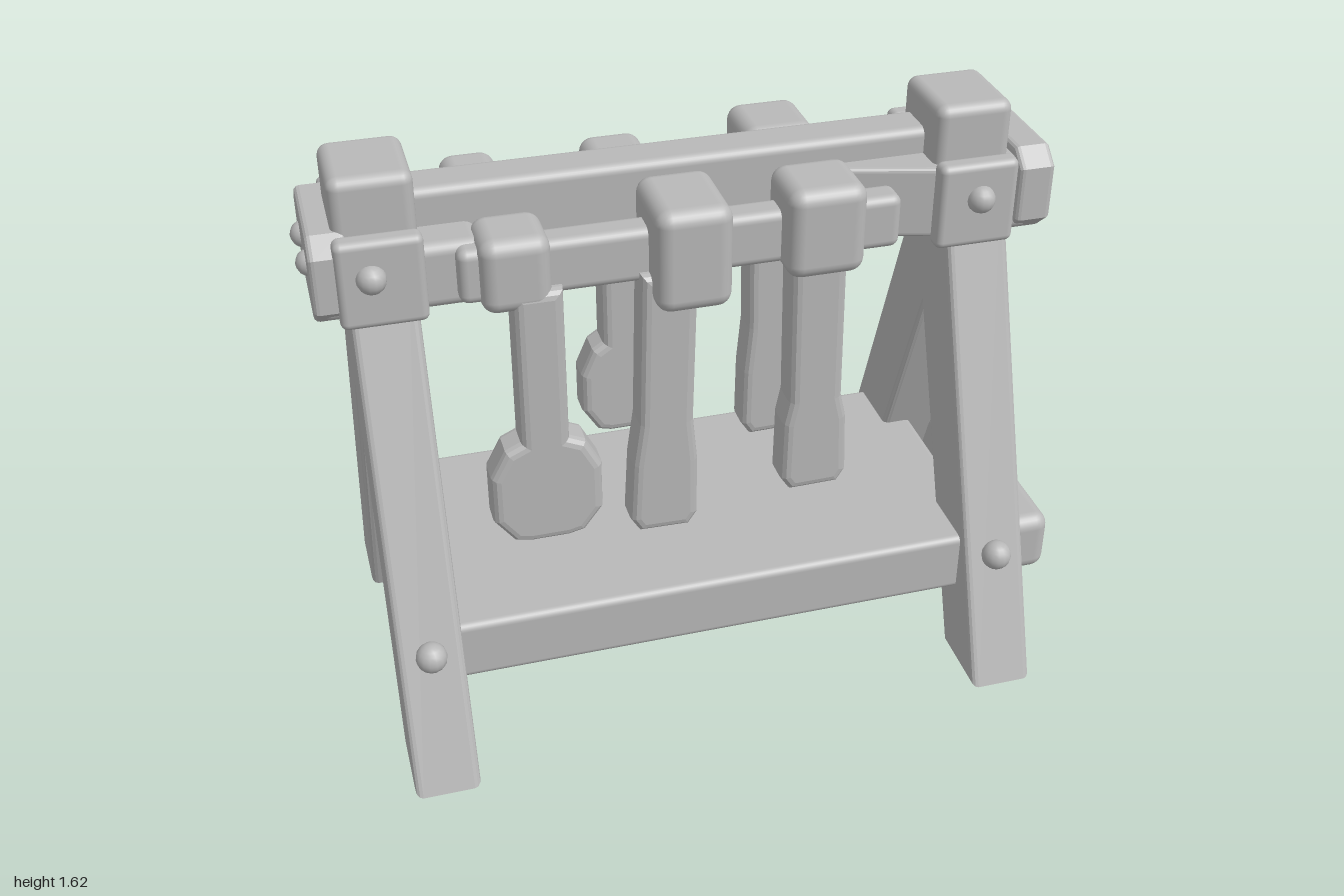
import * as THREE from 'three';
import { RoundedBoxGeometry } from 'three/addons/geometries/RoundedBoxGeometry.js';

export function createModel() {
  const root = new THREE.Group();
  root.name = 'toolRack';
  const grey = new THREE.MeshStandardMaterial({ color: 0xb8b8b8 });
  grey.name = 'clayGrey';

  const add = (name, geometry) => {
    const mesh = new THREE.Mesh(geometry, grey);
    mesh.name = name;
    root.add(mesh);
    return mesh;
  };
  // rounded box given by its bounds
  const block = (name, [x0, x1], [y0, y1], [z0, z1], r = 0.025) => {
    const mesh = add(name, new RoundedBoxGeometry(x1 - x0, y1 - y0, z1 - z0, 3, r));
    mesh.position.set((x0 + x1) / 2, (y0 + y1) / 2, (z0 + z1) / 2);
    return mesh;
  };
  // bevelled slab cut from an outline, centred on its thickness
  const slab = (points, thickness, bevel) => {
    const shape = new THREE.Shape(points.map(([x, y]) => new THREE.Vector2(x, y)));
    const g = new THREE.ExtrudeGeometry(shape, {
      depth: thickness - 2 * bevel, bevelSize: bevel, bevelThickness: bevel,
      bevelOffset: -bevel, bevelSegments: 3,
    });
    return g.translate(0, 0, bevel - thickness / 2);
  };
  // domed bolt head
  const bolt = (name, x, y, z, r = 0.038) => {
    const mesh = add(name, new THREE.SphereGeometry(r, 14, 10));
    mesh.position.set(x, y, z);
  };

  // A-shaped end frames
  const legOutline = [
    [0.575, 0], [0.355, 0], [0, 0.95], [-0.355, 0], [-0.575, 0], [-0.1, 1.3], [0.1, 1.3],
  ];
  for (const s of [-1, 1]) {
    const frame = add(s < 0 ? 'rightLegs' : 'leftLegs', slab(legOutline, 0.175, 0.018));
    frame.rotation.y = -Math.PI / 2;
    frame.position.x = s * 0.8;
    for (const f of [-1, 1]) bolt('legBolt', s * 0.8, 0.375, f * 0.45, 0.042);
  }

  // clamp heads on top of the frames
  for (const s of [-1, 1]) {
    const px = s < 0 ? -0.805 : 0.755;
    const cx = s < 0 ? -0.83 : 0.79;
    const half = s < 0 ? 0.13 : 0.14;
    block('topPost', [px - 0.105, px + 0.105], [1.3, 1.62], [-0.1, 0.145], 0.03);
    block('clampBlock', [cx - half, cx + half], [1.25, 1.46], [-0.17, 0.17], 0.03);
    const end = add('clampEndPlate', slab([
      [0.19, 1.29], [0.19, 1.44], [0.14, 1.485], [-0.14, 1.485],
      [-0.19, 1.44], [-0.19, 1.29], [-0.14, 1.245], [0.14, 1.245],
    ], 0.1, 0.015));
    end.rotation.y = -Math.PI / 2;
    end.position.x = s * 0.925;
    for (const f of [-1, 1]) {
      const z = f * 0.175;
      block('clampSidePlate', [px - 0.11, px + 0.11], [1.24, 1.48], [z - 0.03, z + 0.03], 0.02);
      bolt('clampBolt', s < 0 ? -0.83 : 0.76, 1.38, f * 0.205);
      bolt('endBolt', s * 0.965, 1.38, f * 0.077, 0.035);
    }
  }

  // top beam with blocks where it meets the clamps
  block('topBeam', [-0.75, 0.7], [1.24, 1.53], [-0.07, 0.06], 0.025);
  block('beamSleeve', [-0.74, -0.55], [1.25, 1.43], [-0.17, 0.17], 0.03);
  for (const f of [-1, 1]) {
    const brace = add('beamBrace', slab([
      [0.3, f * 0.05], [0.42, f * 0.1], [0.68, f * 0.17], [0.72, f * 0.05],
    ], 0.2, 0.012));
    brace.rotation.x = Math.PI / 2;
    brace.position.y = 1.36;
  }

  // hanging rails
  block('frontRail', [-0.62, 0.54], [1.27, 1.42], [0.12, 0.21], 0.025);
  block('backRail', [-0.64, 0.54], [1.27, 1.42], [-0.26, -0.17], 0.025);

  // loops around the rails: x range, y range, z range
  const loops = [
    [[-0.57, -0.39], [1.245, 1.45], [0.06, 0.245]],
    [[-0.14, 0.06], [1.215, 1.5], [0.05, 0.305]],
    [[0.21, 0.42], [1.25, 1.5], [0.08, 0.285]],
    [[-0.59, -0.44], [1.25, 1.45], [-0.31, -0.11]],
    [[-0.21, -0.04], [1.24, 1.46], [-0.3, -0.12]],
    [[0.21, 0.41], [1.24, 1.5], [-0.31, -0.1]],
  ];
  for (const [x, y, z] of loops) block('railLoop', x, y, z, 0.04);

  // hanging tools, from half profiles of [half width, y]
  const tool = (name, x, z, half, tilt = 0) => {
    const left = half.map(([w, y]) => [-w, y - 1.3]);
    const right = half.map(([w, y]) => [w, y - 1.3]).reverse();
    const mesh = add(name, slab([...left, ...right], 0.11, 0.025));
    mesh.position.set(x, 1.3, z);
    mesh.rotation.z = tilt;
  };
  const paddle = (bottom) => [
    [0.075, 1.3], [0.075, 0.85], [0.09, bottom + 0.22], [0.095, bottom + 0.04], [0.07, bottom],
  ];
  const spoon = (w, grip, top, bottom) => [
    [grip, 1.3], [grip, top], [w * 0.72, top - 0.02], [w, top - 0.1],
    [w, bottom + 0.08], [w * 0.65, bottom + 0.01], [w * 0.35, bottom],
  ];
  tool('frontSpoon', -0.43, 0.19, spoon(0.15, 0.065, 0.85, 0.53));
  tool('frontPaddleMiddle', -0.09, 0.19, paddle(0.5), -0.025);
  tool('frontPaddleLeft', 0.31, 0.19, paddle(0.56), 0.015);
  tool('backSpoon', -0.12, -0.21, spoon(0.125, 0.06, 0.87, 0.57));
  tool('backPaddle', 0.32, -0.21, paddle(0.48), 0.015);

  // lower shelf and the bar across its left end
  block('shelf', [-0.78, 0.8], [0.23, 0.41], [-0.4, 0.395], 0.02);
  block('endBar', [0.87, 1.0], [0.23, 0.415], [-0.38, 0.38], 0.04);

  return root;
}
